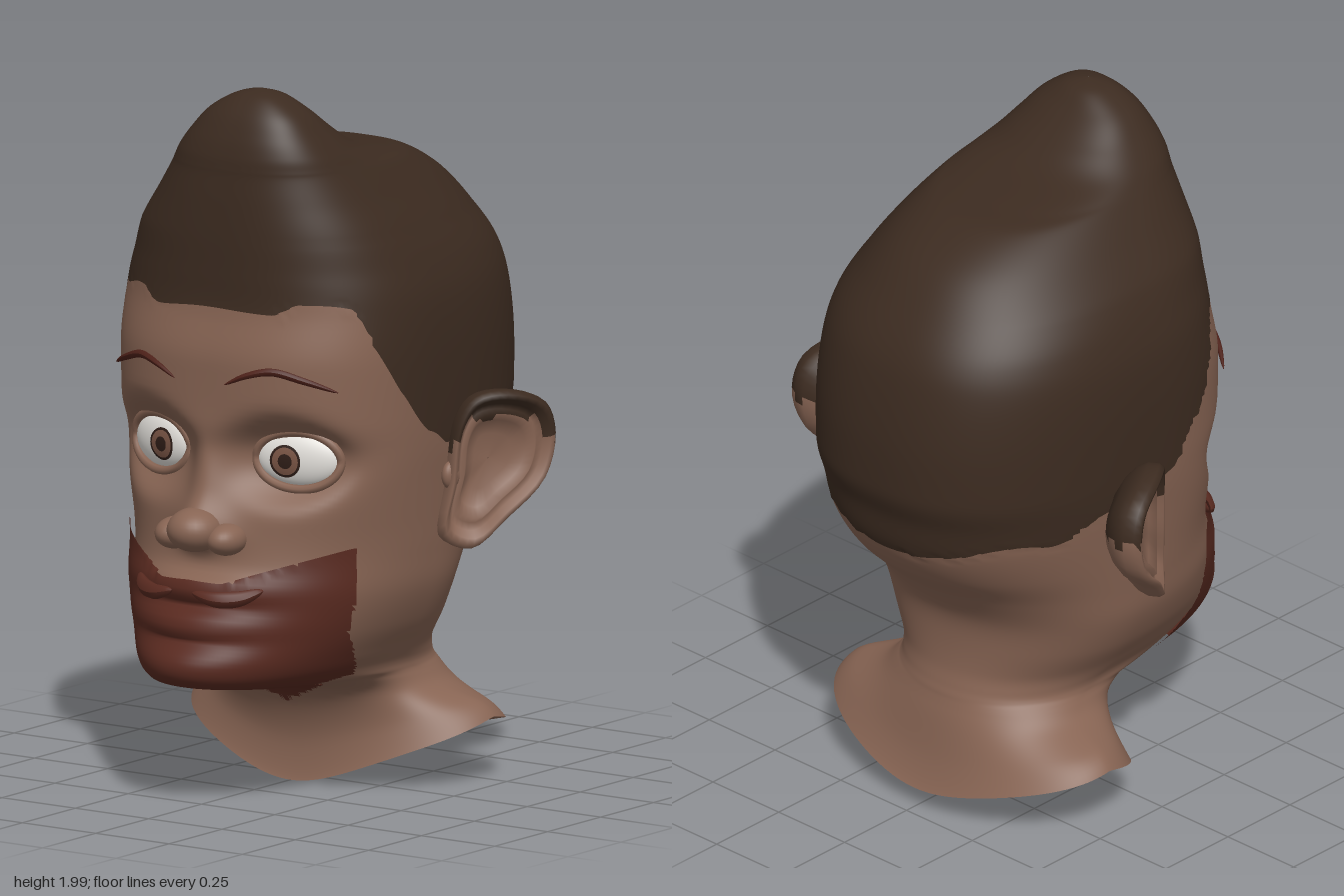
import * as THREE from 'three';

const paint = (name, color) => Object.assign(new THREE.MeshStandardMaterial({ color }), { name });
const skin = paint('skin', 0x876453), hair = paint('hair', 0x3c2b20), beardMat = paint('beard', 0x592a20);
const browMat = paint('eyebrow', 0x4e2119), white = paint('eye white', 0xe2dfda), iris = paint('iris', 0x7a5545);
const dark = paint('pupil', 0x2e1d17);
beardMat.side = THREE.DoubleSide;
const { lerp, smoothstep } = THREE.MathUtils;

// Head sections, top to bottom: y, half width, front z, back z, centre z
const SECTIONS = [
  [2.0, .002, .281, .279, .28], [1.985, .07, .335, .225, .28], [1.94, .145, .38, .17, .27],
  [1.88, .2, .41, .09, .25], [1.83, .24, .425, 0, .22], [1.795, .265, .43, -.16, .18],
  [1.77, .283, .432, -.28, .15], [1.7, .332, .44, -.41, .1], [1.6, .4, .447, -.51, .05],
  [1.5, .445, .45, -.58, 0], [1.4, .47, .455, -.615, 0], [1.25, .478, .485, -.64, 0],
  [1.1, .475, .485, -.645, 0], [1.0, .47, .47, -.62, 0], [.9, .46, .47, -.6, 0],
  [.8, .45, .48, -.54, 0], [.7, .44, .5, -.44, 0], [.6, .425, .53, -.37, 0],
  [.5, .385, .56, -.355, 0], [.42, .335, .59, -.36, 0], [.37, .305, .58, -.372, -.05],
  [.345, .3, .48, -.38, -.08], [.325, .305, .27, -.385, -.12], [.28, .34, .12, -.4, -.16],
  [.21, .44, .06, -.43, -.19], [.15, .49, .08, -.47, -.2],
];
const STEPS = 7, COLS = 200;

// Smooth blend through the section table
function sectionAt(t) {
  const i = Math.min(Math.floor(t), SECTIONS.length - 2), f = t - i;
  const at = k => SECTIONS[Math.max(0, Math.min(SECTIONS.length - 1, k))];
  return at(i).map((b, c) => {
    const a = at(i - 1)[c], d = at(i + 1)[c], e = at(i + 2)[c];
    const m0 = (b - a) * (d - b) > 0 ? (d - a) / 2 : 0, m1 = (d - b) * (e - d) > 0 ? (e - b) / 2 : 0;
    const lim = m => Math.sign(m) * Math.min(Math.abs(m), 3 * Math.abs(d - b));
    return (2 * f ** 3 - 3 * f * f + 1) * b + (f ** 3 - 2 * f * f + f) * lim(m0)
      + (3 * f * f - 2 * f ** 3) * d + (f ** 3 - f * f) * lim(m1);
  });
}

// Relief of the face: eye sockets, nose, lips, chin
function relief(x, y) {
  const ax = Math.abs(x);
  const bump = (cx, cy, sx, sy, amp) => amp * Math.exp(-(((ax - cx) / sx) ** 2) - ((y - cy) / sy) ** 2);
  const socket = ((ax - .225) / .16) ** 2 + ((y - .987) / .115) ** 2;
  return -.082 * Math.exp(-socket * socket)
    + bump(0, .785, .09, y < .785 ? .05 : .08, .075) + bump(0, .9, .055, .12, .03)
    + bump(0, .63, .19, .033, .045) + bump(0, .53, .17, .033, .045) + bump(0, .415, .16, .06, .04);
}

function headPoint(t, a) {
  const [y, w, zF, zB, zc] = sectionAt(t);
  const s = Math.sin(a), c = Math.cos(a);
  const nBack = lerp(2.1, 2.4, smoothstep(y, .7, 1.1)), nFront = lerp(2.2, 2.55, smoothstep(y, .7, .95));
  const n = lerp(nBack, nFront, smoothstep(c, -.1, .1)), depth = c > 0 ? zF - zc : zc - zB;
  const r = 1 / (Math.abs(s / w) ** n + Math.abs(c / depth) ** n) ** (1 / n);
  const x = r * s, z = zc + r * c;
  const flare = 1 - smoothstep(y, .15, .3);
  return [
    x + .11 * Math.max(0, y - 1.6),
    y + flare * (.05 - (c > 0 ? .19 : .13) * Math.abs(c) ** 1.2),
    z + relief(x, y) * smoothstep(z, .1, .3),
  ];
}

// Grid of closed rings; each triangle goes to the group picked by rule(centre, row), or is dropped below 0
function ringSurface(points, rows, cols, rule) {
  const lists = [[], []];
  const tri = (row, ...ids) => {
    const mid = [0, 1, 2].map(k => ids.reduce((sum, id) => sum + points[id][k], 0) / 3);
    const g = rule(mid, row);
    if (g >= 0) lists[g].push(...ids);
  };
  for (let i = 0; i < rows - 1; i++) for (let j = 0; j < cols; j++) {
    const k = (j + 1) % cols, a = i * cols + j, b = a + cols, c = b + k - j, d = a + k - j;
    tri(i, a, b, c);
    tri(i, a, c, d);
  }
  const geo = new THREE.BufferGeometry();
  geo.setAttribute('position', new THREE.Float32BufferAttribute(points.flat(), 3));
  geo.setIndex([...lists[0], ...lists[1]]);
  geo.addGroup(0, lists[0].length, 0);
  geo.addGroup(lists[0].length, lists[1].length, 1);
  geo.computeVertexNormals();
  return geo;
}

function alongLine(pts, v) {
  for (let i = 1; i < pts.length; i++) if (v <= pts[i][0]) {
    return lerp(pts[i - 1][1], pts[i][1], Math.max(0, (v - pts[i - 1][0]) / (pts[i][0] - pts[i - 1][0])));
  }
  return pts[pts.length - 1][1];
}
// Hairline height by z, and beard top edge height by |x|
const HAIRLINE = [[-.65, .86], [-.5, .945], [-.28, .94], [-.2, 1], [0, 1.01], [.08, 1.05], [.2, 1.18], [.27, 1.31], [.31, 1.42], [.41, 1.43], [.435, 1.4]];
const BEARD_TOP = [[0, .655], [.1, .65], [.2, .685], [.38, .745]];
const hairEdge = ([x, , z]) => alongLine(HAIRLINE, z) + .006 * Math.sin(z * 45 + x * 12);
const beardEdge = ([x]) => alongLine(BEARD_TOP, Math.abs(x));
function isBeard(p) {
  const [x, y, z] = p;
  if (y < .36) return z > .04 && Math.abs(x) < (y - .24) * 2.4;
  return y < beardEdge(p) && z > .3 - Math.max(0, .5 - y) * .8;
}
// Moves a point onto a colour edge when it is near, for a clean line
const snap = ([x, y, z], edge, range) => [x, Math.abs(y - edge) < range ? edge : y, z];

// Ear: dished rings inside an outline, bowed and swept back, with the back running into the head
function earGeometry() {
  const outline = new THREE.CatmullRomCurve3([[.18, 1.145], [.08, 1.13], [.03, 1.05], [.01, .89], [-.01, .74],
    [.07, .705], [.18, .785], [.31, .89], [.345, 1.01], [.31, 1.1]].map(([u, v]) => new THREE.Vector3(u, v, 0)), true);
  const rings = [[.01, -.03], [.35, -.03], [.55, -.015], [.66, .01], [.72, -.005], [.8, .005], [.88, .03], [.95, .033],
    [1, .018], [1, -.015], [.93, -.045], [.75, -.08], [.5, -.11], [.01, -.11]];
  const cols = 40, points = [];
  for (const [s, n] of rings) for (let j = 0; j < cols; j++) {
    const p = outline.getPoint(j / cols), u = lerp(.14, p.x, s), v = lerp(.95, p.y, s);
    const out = n + .03 * Math.sin(Math.PI * u / .35);
    points.push([.465 + u * .49 + out * .83, v, -u * .82 + out * .5]);
  }
  return ringSurface(points, rings.length, cols, ([x, y], row) => (y > (row < 5 ? 1.07 : .99) + .012 * Math.sin(x * 90) ? 1 : 0));
}

// Tube that thins towards both ends
function taperedTube(pts, radius) {
  const curve = new THREE.CatmullRomCurve3(pts.map(p => new THREE.Vector3(...p)));
  const geo = new THREE.TubeGeometry(curve, 24, radius, 8), pos = geo.attributes.position;
  for (let i = 0; i < pos.count; i++) {
    const t = Math.floor(i / 9) / 24, c = curve.getPointAt(t), k = .1 + .9 * Math.sin(Math.PI * t) ** .6;
    pos.setXYZ(i, lerp(c.x, pos.getX(i), k), lerp(c.y, pos.getY(i), k), lerp(c.z, pos.getZ(i), k * .8));
  }
  geo.computeVertexNormals();
  return geo;
}

export function createModel() {
  const model = new THREE.Group();
  const add = (name, geo, mat) => {
    const mesh = new THREE.Mesh(geo, mat);
    mesh.name = name;
    model.add(mesh);
  };
  const addPair = (name, geo, mat) => {
    add('left' + name, geo, mat);
    const other = geo.clone().scale(-1, 1, 1), idx = other.index.array;
    for (let i = 0; i < idx.length; i += 3) [idx[i + 1], idx[i + 2]] = [idx[i + 2], idx[i + 1]];
    add('right' + name, other, mat);
  };
  const ball = (sx, sy, sz, x, y, z) => new THREE.SphereGeometry(1, 28, 20).scale(sx, sy, sz).translate(x, y, z);

  // Head and neck, with the hair as part of the same surface
  const rows = (SECTIONS.length - 1) * STEPS + 1, points = [];
  for (let i = 0; i < rows; i++) for (let j = 0; j < COLS; j++) {
    const t = j / COLS * Math.PI * 2 - Math.PI, p = headPoint(i / STEPS, t - .4 * Math.sin(t));
    points.push(snap(p, hairEdge(p), .0105));
  }
  const head = ringSurface(points, rows, COLS, p => (p[1] > hairEdge(p) ? 1 : 0));
  add('headAndHair', head, [skin, hair]);

  // Beard: a shell just off the lower face, closer under the chin
  const normals = head.attributes.normal.array;
  const shell = points.map((p, i) => {
    const lift = lerp(.004, .015, smoothstep(p[1], .33, .4));
    const q = p.map((v, k) => v + lift * normals[i * 3 + k]);
    return snap(q, beardEdge(q), .0085);
  });
  const beard = ringSurface(shell, rows, COLS, p => (isBeard(p) ? 0 : -1)).toNonIndexed();
  beard.clearGroups();
  add('beard', beard, beardMat);

  // Underside of the neck
  const rim = points.slice(-COLS), base = new THREE.BufferGeometry();
  base.setAttribute('position', new THREE.Float32BufferAttribute(
    rim.flatMap((p, j) => [0, .1, -.17, ...rim[(j + 1) % COLS], ...p]), 3));
  base.computeVertexNormals();
  add('neckBase', base, skin);

  // Ears and rounded nose
  addPair('Ear', earGeometry(), [skin, hair]);
  addPair('EarTragus', ball(.022, .04, .033, .475, .91, -.02), skin);
  add('noseTip', ball(.078, .062, .085, 0, .79, .528), skin);
  addPair('Nostril', ball(.052, .045, .07, .088, .768, .5), skin);

  // Eyes: eyeball, lids, iris and pupil
  const size = [.122, .078, .04];
  const place = geo => geo.rotateY(.3).translate(.228, .987, .352);
  const disc = (r0, r1) => {
    const geo = new THREE.RingGeometry(r0, r1, 32, 4), pos = geo.attributes.position;
    for (let i = 0; i < pos.count; i++) {
      const x = pos.getX(i) - .03, y = pos.getY(i) - .002;
      pos.setXYZ(i, x, y, .003 + size[2] * Math.sqrt(1 - (x / size[0]) ** 2 - (y / size[1]) ** 2));
    }
    geo.computeVertexNormals();
    return place(geo);
  };
  addPair('Eyeball', place(new THREE.SphereGeometry(1, 40, 28).scale(...size)), white);
  addPair('IrisRim', disc(.039, .046), dark);
  addPair('Iris', disc(.021, .039), iris);
  addPair('Pupil', disc(0, .021), dark);
  const lid = Array.from({ length: 24 }, (_, i) => i / 12 * Math.PI).map(a =>
    new THREE.Vector3(.124 * Math.cos(a), .082 * Math.sin(a), .006 + .016 * Math.abs(Math.sin(a))));
  addPair('Eyelids', place(new THREE.TubeGeometry(new THREE.CatmullRomCurve3(lid, true), 64, .013, 8, true)), skin);

  // Eyebrows and moustache
  addPair('Eyebrow', taperedTube([[.085, 1.205, .51], [.15, 1.235, .5], [.22, 1.25, .475], [.3, 1.228, .436], [.378, 1.195, .378]], .011), browMat);
  addPair('Moustache', taperedTube([[.035, .625, .592], [.1, .612, .58], [.16, .615, .545], [.21, .637, .5]], .024), beardMat);
  return model;
}
